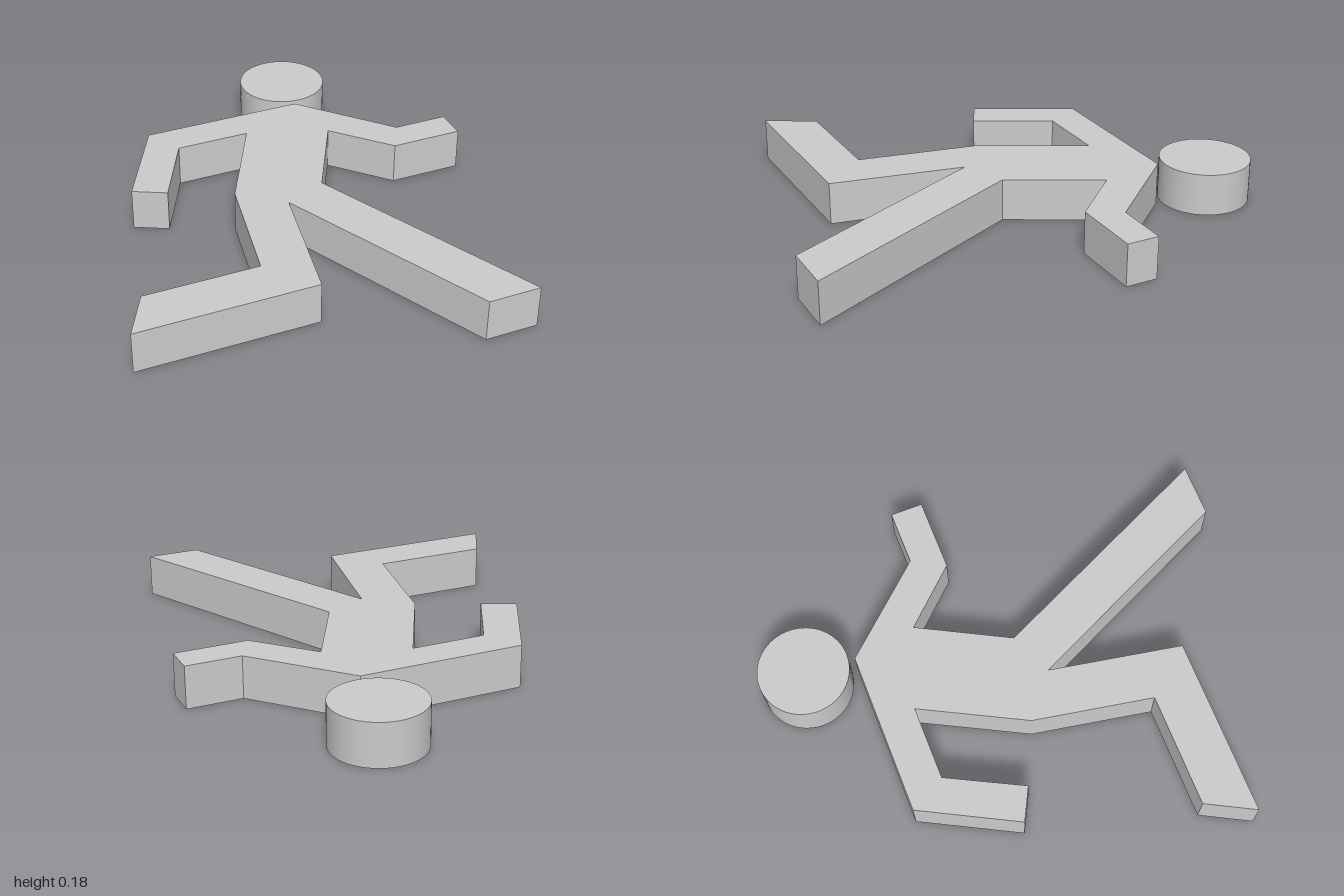
import * as THREE from 'three';

const THICKNESS = 0.177;

export function createModel() {
  const group = new THREE.Group();
  group.name = 'runningFigure';
  const material = new THREE.MeshStandardMaterial({ color: 0xcccccc });

  // Body outline in plan, as (x, z)
  const outline = [
    [-0.37, -0.6], [0.315, -0.6],                                // shoulders
    [0.64, -0.24], [0.87, -0.24], [0.87, -0.105], [0.565, -0.105], // left arm
    [0.355, -0.33], [0.16, 0.035],                               // left flank
    [0.613, 1.0], [0.394, 1.0], [-0.022, 0.113],                 // left leg
    [-0.125, 0.663], [-0.87, 0.663], [-0.765, 0.467], [-0.29, 0.467], // right leg
    [-0.198, -0.03], [0.022, -0.448],                            // right flank
    [-0.287, -0.448], [-0.445, -0.142], [-0.577, -0.21],         // right arm
  ];
  const shape = new THREE.Shape(outline.map(([x, z]) => new THREE.Vector2(x, z)));
  const bodyGeometry = new THREE.ExtrudeGeometry(shape, { depth: THICKNESS, bevelEnabled: false });
  // Lay flat: shape y becomes z, depth runs downwards
  bodyGeometry.rotateX(Math.PI / 2).translate(0, THICKNESS, 0);
  const body = new THREE.Mesh(bodyGeometry, material);
  body.name = 'body';
  group.add(body);

  // Head disc, separate from the body
  const head = new THREE.Mesh(new THREE.CylinderGeometry(0.188, 0.188, THICKNESS, 64), material);
  head.name = 'head';
  head.position.set(0.342, THICKNESS / 2, -0.812);
  group.add(head);

  return group;
}
